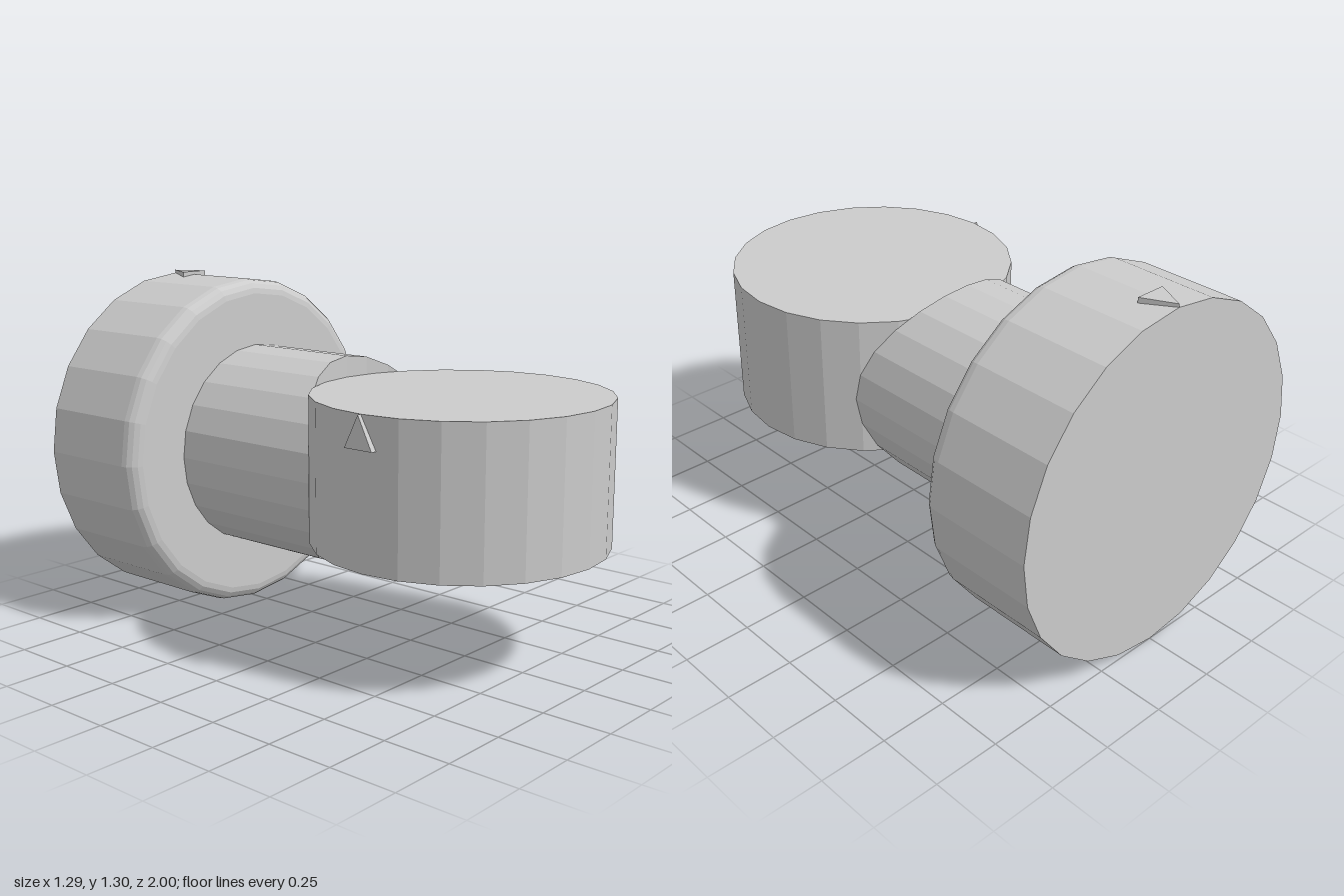
import * as THREE from 'three';

const SIDES = 24;
const AXIS_Y = 0.65;                                   // height of the horizontal axis
const DISC = { r: 0.532, z: 0.468, bottom: 0.43, top: 0.96 };
const STEM = { r: 0.39, back: -0.56 };

const grey = new THREE.MeshStandardMaterial({ color: 0xcccccc, flatShading: true });

function part(name, geometry, x, y, z) {
  const mesh = new THREE.Mesh(geometry, grey);
  mesh.name = name;
  mesh.position.set(x, y, z);
  return mesh;
}

// z of the rear wall of the upright disc at a given x
const discRear = (x) => DISC.z - Math.sqrt(DISC.r ** 2 - x ** 2);

// Moves each vertex of a geometry by a rule
function reshape(geometry, rule) {
  const p = geometry.attributes.position;
  const v = new THREE.Vector3();
  for (let i = 0; i < p.count; i++) {
    v.fromBufferAttribute(p, i);
    rule(v);
    p.setXYZ(i, v.x, v.y, v.z);
  }
  geometry.computeVertexNormals();
  return geometry;
}

// Small triangular marker, tip at the origin pointing up, raised along +z
function markerGeometry() {
  const tri = new THREE.Shape();
  tri.moveTo(0, 0);
  tri.lineTo(-0.058, -0.115);
  tri.lineTo(0.058, -0.115);
  tri.closePath();
  return new THREE.ExtrudeGeometry(tri, { depth: 0.03, bevelEnabled: false });
}

export function createModel() {
  const model = new THREE.Group();
  model.name = 'knob';

  // Upright disc at the front
  const discHeight = DISC.top - DISC.bottom;
  model.add(part('disc', new THREE.CylinderGeometry(DISC.r, DISC.r, discHeight, SIDES),
    0, DISC.bottom + discHeight / 2, DISC.z));

  // Stem, its front end hollowed to fit the disc
  const tube = new THREE.CylinderGeometry(STEM.r, STEM.r, 1, SIDES, 1, true).rotateX(Math.PI / 2);
  reshape(tube, (v) => { v.z = v.z > 0 ? discRear(v.x) : STEM.back; });
  model.add(part('stem', tube, 0, AXIS_Y, 0));

  // Curved end face of the stem, in upright strips
  const endFace = reshape(new THREE.PlaneGeometry(1, 1, SIDES / 2, 1), (v) => {
    const a = v.x * Math.PI;
    v.set(STEM.r * Math.sin(a), Math.sign(v.y) * STEM.r * Math.cos(a), 0);
    v.z = discRear(v.x);
  });
  model.add(part('stemEnd', endFace, 0, AXIS_Y, 0));

  // Wide rear flange with a rounded front rim
  const R = 0.645, front = -0.54, round = 0.055;
  const profile = [new THREE.Vector2(0, -1), new THREE.Vector2(R, -1)];
  for (let i = 0; i <= 4; i++) {
    const a = (i / 4) * Math.PI / 2;
    profile.push(new THREE.Vector2(R - round + round * Math.cos(a), front - round + round * Math.sin(a)));
  }
  profile.push(new THREE.Vector2(0, front));
  model.add(part('flange', new THREE.LatheGeometry(profile, SIDES).rotateX(Math.PI / 2), 0, AXIS_Y, 0));

  // Raised alignment markers on the flange and on the disc
  model.add(part('flangeMarker', markerGeometry().rotateX(-Math.PI / 2), 0, 1.277, -1));
  model.add(part('discMarker', markerGeometry().rotateY(-Math.PI / 2), -0.517, DISC.top, 0.465));

  return model;
}
